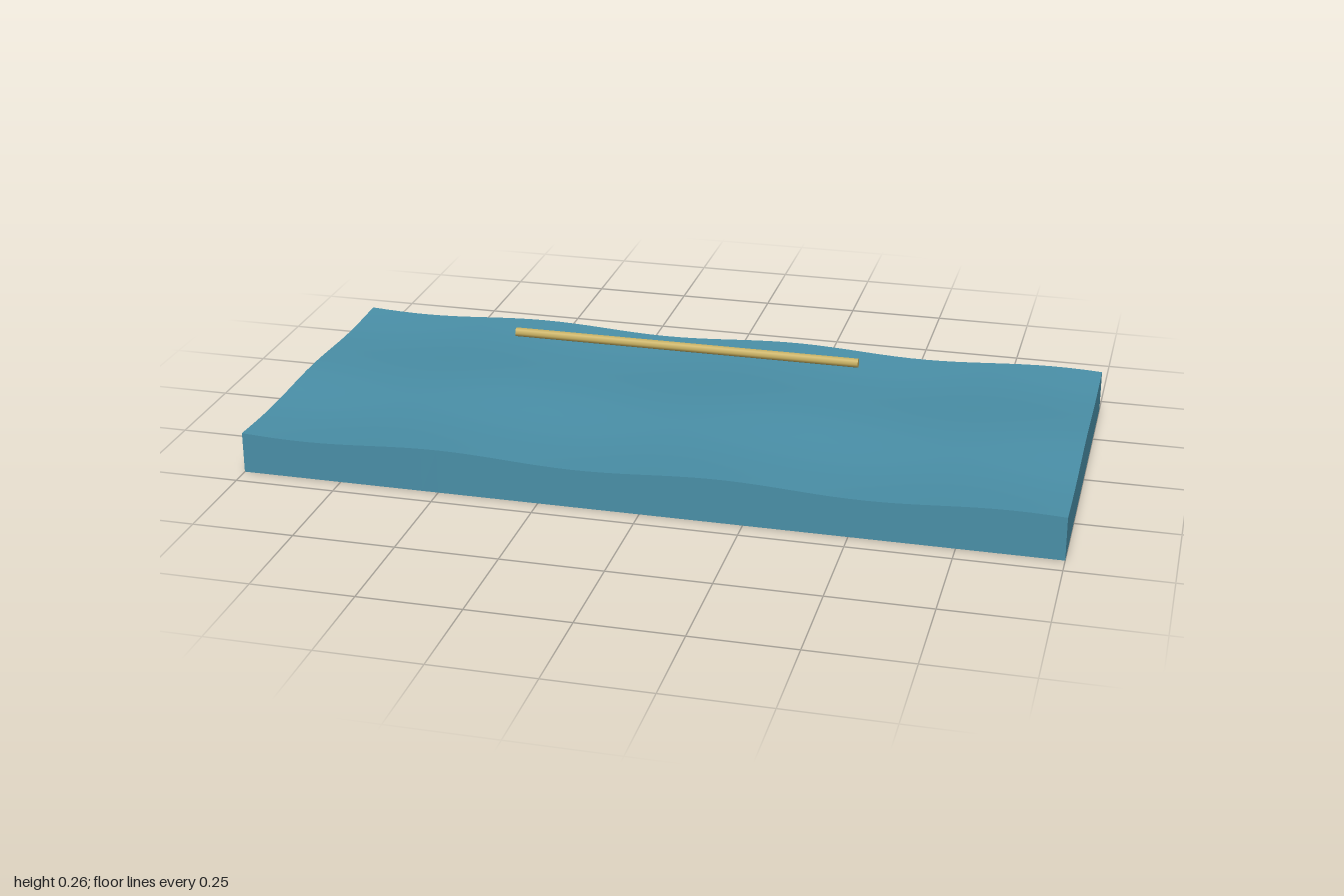
import * as THREE from 'three';

// Gentle swell: ripples along x, a shorter ripple and slight tilt along z
const surfaceHeight = (x, z) =>
  0.101 + 0.007 * Math.cos(9.1 * (x - 0.19)) + 0.004 * Math.cos(11.4 * z) + 0.004 * z;

export function createModel() {
  const model = new THREE.Group();

  // Water slab: flat base and straight sides, rippled top
  const slab = new THREE.BoxGeometry(2, 0.1, 0.896, 48, 1, 24);
  slab.translate(0, 0.05, 0);
  const p = slab.attributes.position;
  for (let i = 0; i < p.count; i++) {
    if (p.getY(i) > 0.05) p.setY(i, surfaceHeight(p.getX(i), p.getZ(i)));
  }
  slab.computeVertexNormals();
  const water = new THREE.Mesh(slab, new THREE.MeshStandardMaterial({ color: 0x4a90a8 }));
  water.name = 'waterSlab';
  model.add(water);

  // Thin rod hovering above the water
  const rodShape = new THREE.CylinderGeometry(0.012, 0.012, 0.875, 8);
  rodShape.rotateZ(Math.PI / 2);
  const rod = new THREE.Mesh(rodShape, new THREE.MeshStandardMaterial({ color: 0xc8b060 }));
  rod.name = 'rod';
  rod.position.set(0, 0.251, 0);
  model.add(rod);

  return model;
}
